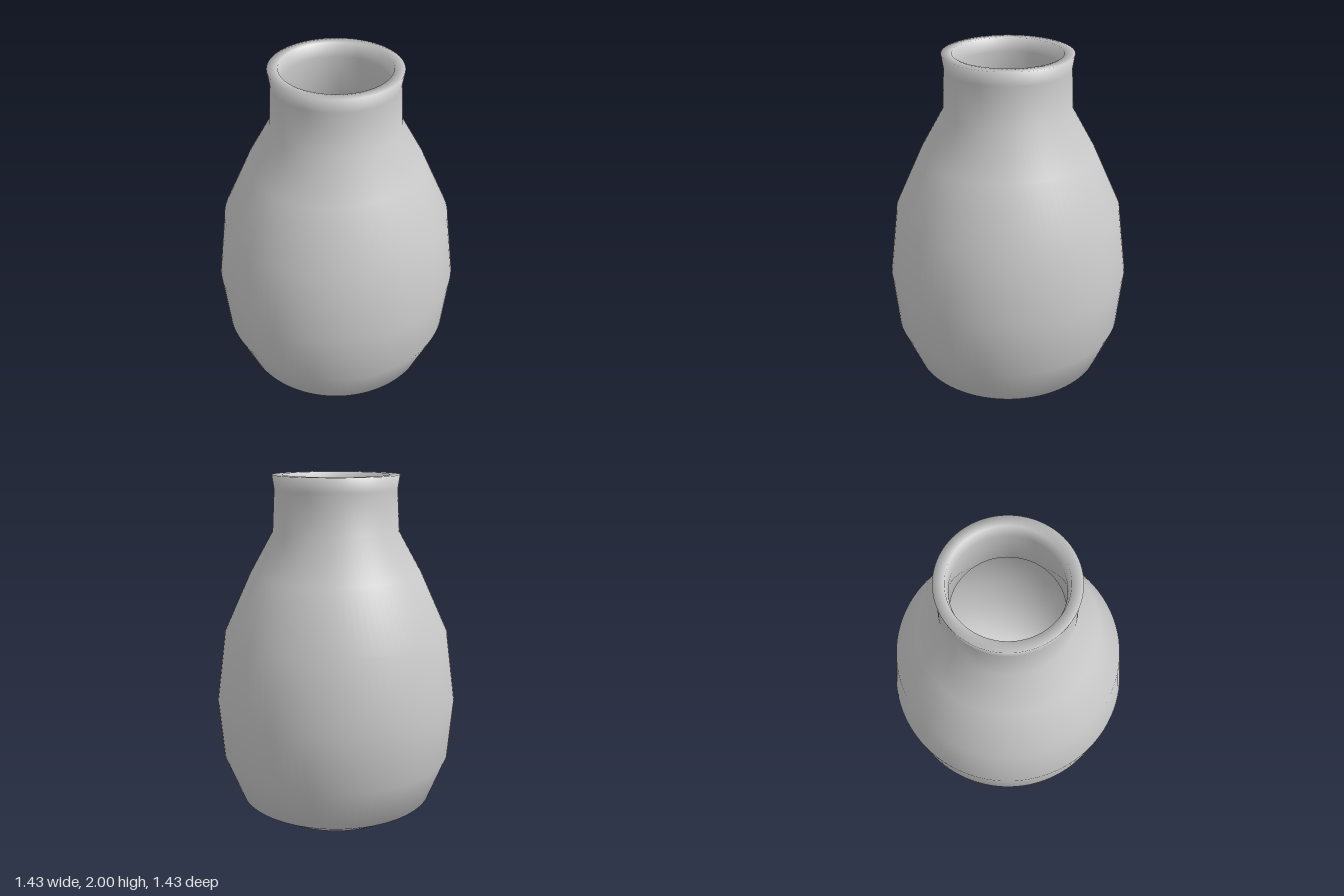
import * as THREE from 'three';

export function createModel() {
  const group = new THREE.Group();
  group.name = 'vase';

  const clay = new THREE.MeshStandardMaterial({ color: 0xcccccc });
  clay.name = 'light grey clay';

  // Outer wall, from the centre of the base up to the lip
  const outer = [
    [0, 0], [0.44, 0], [0.585, 0.09], [0.686, 0.35], [0.713, 0.69],
    [0.656, 1.1], [0.5, 1.44], [0.365, 1.68], [0.352, 1.92], [0.364, 2],
  ];
  // Inner wall, from the lip down to the centre of the floor
  const inner = [
    [0.305, 2], [0.292, 1.92], [0.305, 1.66], [0.44, 1.42], [0.596, 1.08],
    [0.652, 0.69], [0.626, 0.36], [0.535, 0.13], [0.42, 0.06], [0, 0.06],
  ];
  const profile = [...outer, ...inner].map(([r, y]) => new THREE.Vector2(r, y));

  // Hollow turned body with a flared lip
  const body = new THREE.Mesh(new THREE.LatheGeometry(profile, 96), clay);
  body.name = 'vaseBody';
  group.add(body);

  return group;
}
